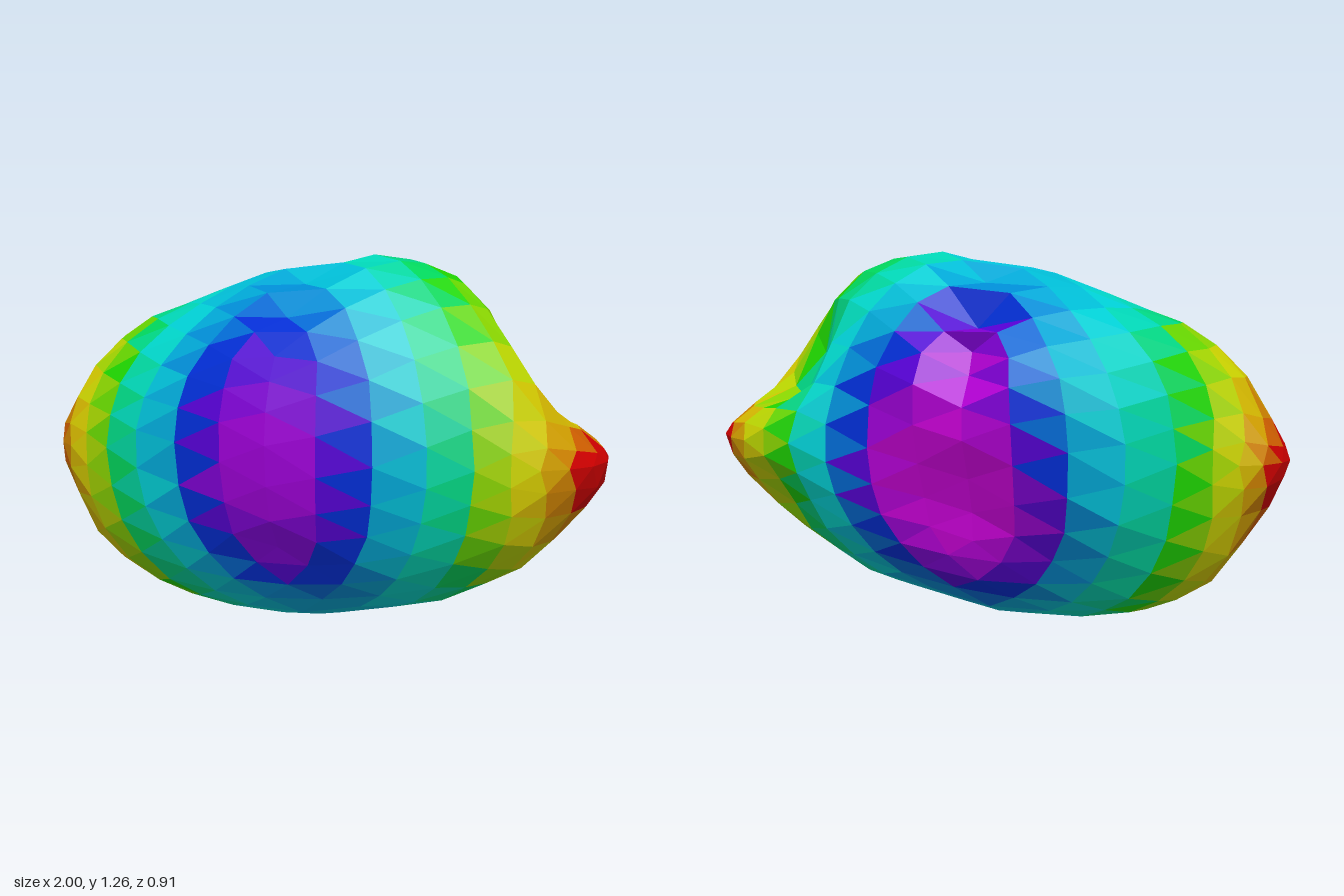
import * as THREE from 'three';

// Cross-sections along x: x, bottom y, top y, back z, front z, middle y, middle z
const SECTIONS = [
  [-1.0, 0.56, 0.6, 0.04, 0.08, 0.58, 0.06],
  [-0.95, 0.44, 0.69, -0.06, 0.2, 0.58, 0.07],
  [-0.86, 0.31, 0.84, -0.1, 0.28, 0.58, 0.08],
  [-0.8, 0.18, 0.92, -0.13, 0.3, 0.58, 0.08],
  [-0.64, 0.08, 1.03, -0.25, 0.35, 0.6, 0.06],
  [-0.5, 0.03, 1.08, -0.38, 0.39, 0.62, 0.04],
  [-0.3, 0.0, 1.16, -0.45, 0.42, 0.66, 0.03],
  [-0.12, 0.0, 1.22, -0.45, 0.45, 0.68, 0.03],
  [0.0, 0.0, 1.2, -0.44, 0.46, 0.67, 0.03],
  [0.12, 0.03, 1.25, -0.42, 0.46, 0.66, 0.03],
  [0.25, 0.06, 1.27, -0.37, 0.44, 0.62, 0.03],
  [0.45, 0.1, 1.22, -0.29, 0.4, 0.62, 0.03],
  [0.62, 0.19, 1.13, -0.28, 0.36, 0.62, 0.06],
  [0.78, 0.28, 0.98, -0.27, 0.3, 0.62, 0.09],
  [0.9, 0.42, 0.8, -0.22, 0.22, 0.62, 0.02],
  [0.98, 0.53, 0.66, -0.11, 0.1, 0.62, -0.01],
  [1.0, 0.6, 0.64, -0.04, 0.03, 0.62, -0.01],
];

// Hollows and bumps: centre, reach, push
const DENTS = [
  { at: [0.02, 1.06, -0.27], reach: 0.09, push: [0, -0.05, 0.06] }, // upper back groove
  { at: [0.02, 0.9, -0.37], reach: 0.1, push: [0, 0, 0.1] },
  { at: [-0.28, 0.85, -0.4], reach: 0.15, push: [0, 0.02, -0.04] }, // back shoulders
  { at: [0.17, 0.85, -0.38], reach: 0.11, push: [0, 0.01, -0.03] },
  { at: [0.06, 0.46, -0.4], reach: 0.21, push: [0, 0, 0.11] }, // lower back basin
  { at: [-0.3, 0.28, -0.34], reach: 0.17, push: [0, 0, 0.04] },
  { at: [0.77, 0.93, -0.09], reach: 0.2, push: [-0.15, -0.14, 0] }, // scoop beside the tip
  { at: [0.75, 0.94, 0.19], reach: 0.1, push: [0.04, 0.03, 0] }, // ridge above the scoop
  { at: [0.75, 0.42, -0.2], reach: 0.12, push: [-0.04, 0, 0.06] }, // small pit
  { at: [0, 0.24, 0.38], reach: 0.13, push: [0, 0, -0.04] }, // lower front dimple
];

function sectionAt(x) {
  let i = 0;
  while (i < SECTIONS.length - 2 && SECTIONS[i + 1][0] < x) i++;
  const a = SECTIONS[i], b = SECTIONS[i + 1];
  const t = THREE.MathUtils.clamp((x - a[0]) / (b[0] - a[0]), 0, 1);
  return a.map((v, k) => THREE.MathUtils.lerp(v, b[k], t));
}

// Moves a point of the unit sphere to the rock's surface
function shape(p) {
  const [, bottom, top, back, front, midY, midZ] = sectionAt(p.x);
  const radius = Math.hypot(p.y, p.z) || 1;
  const c = p.y / radius, s = p.z / radius;
  // Sloping upper front, blunt lower front, full upper back, tucked-in lower back
  const power = s > 0 ? (c > 0 ? 1.3 : 1.05) : (c > 0 ? 1.05 : 1.4);
  const depth = Math.abs(s) ** power;
  p.y = midY + c * (c > 0 ? top - midY : midY - bottom);
  p.z = midZ + depth * (s > 0 ? front - midZ : back - midZ);

  for (const { at, reach, push } of DENTS) {
    const d = p.distanceTo(new THREE.Vector3(...at)) / reach;
    p.addScaledVector(new THREE.Vector3(...push), Math.exp(-d * d));
  }
  return p;
}

export function createModel() {
  const group = new THREE.Group();
  group.name = 'rock';

  const ball = new THREE.IcosahedronGeometry(1, 5).attributes.position;
  const points = [];
  for (let i = 0; i < ball.count; i++) {
    points.push(shape(new THREE.Vector3().fromBufferAttribute(ball, i)));
  }

  // Sort the facets into hue bands by distance from the core: violet near, red far
  const BANDS = 28;
  const core = new THREE.Vector3(0, 0.62, 0);
  const bands = Array.from({ length: BANDS }, () => []);
  for (let i = 0; i < points.length; i += 3) {
    const face = points.slice(i, i + 3);
    const reach = face.reduce((sum, p) => sum + p.distanceTo(core) / 3, 0);
    const t = THREE.MathUtils.clamp((reach - 0.42) / 0.55, 0, 0.999);
    bands[Math.floor(t * BANDS)].push(...face);
  }

  // One surface, one material per band
  const geometry = new THREE.BufferGeometry().setFromPoints(bands.flat());
  let start = 0;
  const materials = bands.map((band, i) => {
    geometry.addGroup(start, band.length, i);
    start += band.length;
    const hue = 0.81 * (1 - i / (BANDS - 1));
    return new THREE.MeshStandardMaterial({
      color: new THREE.Color().setHSL(hue, 1, 0.33),
      flatShading: true,
    });
  });
  geometry.computeVertexNormals();

  const body = new THREE.Mesh(geometry, materials);
  body.name = 'rockBody';
  group.add(body);
  return group;
}
